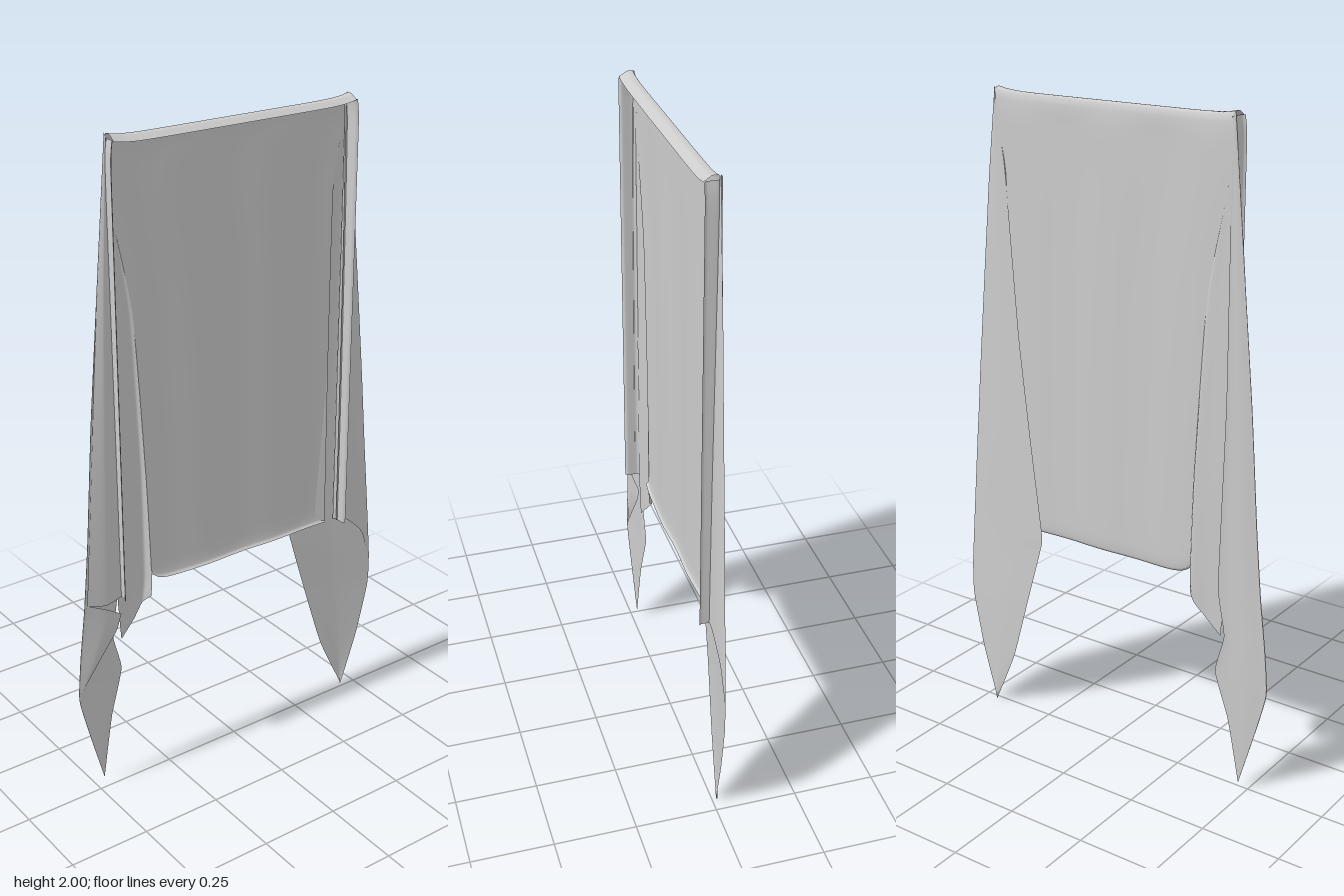
import * as THREE from 'three';
import { ParametricGeometry } from 'three/addons/geometries/ParametricGeometry.js';

const cloth = new THREE.MeshStandardMaterial({ color: 0xcccccc, side: THREE.DoubleSide });

const curve = (pts) =>
  new THREE.CatmullRomCurve3(pts.map((p) => new THREE.Vector3(...p)), false, 'catmullrom', 0.25);

function addSurface(group, name, fn, slices, stacks) {
  const geometry = new ParametricGeometry(fn, slices, stacks);
  geometry.computeVertexNormals();
  const mesh = new THREE.Mesh(geometry, cloth);
  mesh.name = name;
  group.add(mesh);
}

// Cloth stretched across a row of edge curves, each running top to bottom
function addSheet(group, name, edges, ripple = 0) {
  const curves = edges.map(curve);
  addSurface(group, name, (u, v, target) => {
    const points = curves.map((c) => c.getPoint(v));
    new THREE.CatmullRomCurve3(points, false, 'catmullrom', 0.3).getPoint(u, target);
    target.z += ripple * Math.sin(u * Math.PI * 3) * Math.sin(v * Math.PI);
  }, 16, 60);
}

export function createModel() {
  const group = new THREE.Group();
  group.name = 'drapedCloth';

  // Main panel: curled hem, flat back, top edge turned forward
  const profile = curve([
    [0, 0.648, -0.004], [0, 0.657, -0.011], [0, 0.7, -0.014], [0, 1.0, -0.014],
    [0, 1.3, -0.014], [0, 1.6, -0.014], [0, 1.92, -0.014], [0, 1.968, -0.012],
    [0, 1.988, -0.006], [0, 1.988, 0.012], [0, 1.974, 0.034],
  ]);
  const leftEdge = curve([[0.36, 0.64, 0], [0.362, 1.2, 0], [0.365, 1.75, 0], [0.4, 1.93, 0], [0.4, 2, 0]]);
  const rightEdge = curve([[-0.29, 0.64, 0], [-0.3, 1.0, 0], [-0.33, 1.5, 0], [-0.4, 1.85, 0], [-0.4, 2, 0]]);
  const edgeAt = (c, y) => {
    let lo = 0, hi = 1;
    for (let i = 0; i < 16; i++) {
      const mid = (lo + hi) / 2;
      if (c.getPoint(mid).y < y) lo = mid; else hi = mid;
    }
    return c.getPoint(lo).x;
  };
  addSurface(group, 'backPanel', (u, v, target) => {
    profile.getPoint(v, target);
    const x = THREE.MathUtils.lerp(edgeAt(rightEdge, target.y), edgeAt(leftEdge, target.y), u);
    const corner = Math.pow(Math.abs(x) / 0.4, 10);
    const top = THREE.MathUtils.smoothstep(target.y, 1.9, 1.98);
    const hem = 1 - THREE.MathUtils.smoothstep(target.y, 0.64, 0.8);
    target.x = x;
    target.y += 0.01 * corner * top + 0.03 * hem * Math.exp(-u * 25);
    target.z -= 0.002 * Math.sin(u * Math.PI * 5) * (1 - top);
  }, 40, 80);

  // Side walls wrapping forward, with a narrow lip
  for (const s of [-1, 1]) {
    const wallEdge = (x, z) => [[x * 0.985, 1.985, z], [x, 1.9, z], [x, 1.2, z], [x, 0.645, z]];
    addSheet(group, s > 0 ? 'leftWall' : 'rightWall', [
      wallEdge(s * 0.398, -0.012), wallEdge(s * 0.405, -0.004),
      wallEdge(s * 0.405, 0.025), wallEdge(s * 0.412, 0.033),
    ]);
  }

  // Left flap: wide rear layer ending in a point
  const leftInner = [
    [0.4, 1.985, -0.012], [0.365, 1.75, -0.017], [0.325, 1.3, -0.024], [0.28, 0.95, -0.03],
    [0.24, 0.65, -0.033], [0.25, 0.59, -0.032], [0.3, 0.42, -0.03], [0.37, 0.19, -0.023], [0.455, 0.002, -0.013],
  ];
  const leftOuter = [
    [0.403, 2, -0.01], [0.437, 1.7, -0.009], [0.478, 1.25, -0.007], [0.508, 0.95, -0.006],
    [0.535, 0.65, -0.004], [0.55, 0.47, -0.003], [0.549, 0.36, -0.004], [0.51, 0.18, -0.008], [0.455, 0.002, -0.013],
  ];
  const middle = leftInner.map((p, i) => p.map((a, k) => (a + leftOuter[i][k]) / 2 - (k === 2 ? 0.004 : 0)));
  addSheet(group, 'leftFlapRear', [leftInner, middle, leftOuter]);

  // Left flap: front layer from the wall to the outer fold
  addSheet(group, 'leftFlapFront', [
    [[0.398, 1.985, -0.008], [0.4, 1.6, -0.004], [0.4, 1.1, 0], [0.4, 0.645, 0.002]],
    [[0.4, 1.99, -0.008], [0.42, 1.6, -0.003], [0.43, 1.1, 0.002], [0.44, 0.638, 0.003]],
    [[0.401, 1.995, -0.009], [0.43, 1.6, -0.005], [0.465, 1.1, 0], [0.51, 0.57, 0.001]],
    [[0.403, 2, -0.01], [0.447, 1.6, -0.008], [0.495, 1.1, -0.006], [0.55, 0.45, -0.003]],
  ]);

  // Left hidden fold joining the panel to the rear layer
  addSheet(group, 'leftFold', [
    [[0.4, 1.93, -0.014], [0.365, 1.75, -0.014], [0.362, 1.2, -0.014], [0.36, 0.65, -0.008]],
    [[0.4, 1.95, -0.013], [0.365, 1.75, -0.017], [0.315, 1.2, -0.025], [0.24, 0.65, -0.033]],
  ]);

  // Right gather: bulge behind the panel with a short hanging corner
  addSheet(group, 'rightGather', [
    [[-0.4, 1.85, -0.014], [-0.33, 1.5, -0.014], [-0.3, 1.0, -0.014], [-0.29, 0.66, -0.012], [-0.292, 0.6, -0.014]],
    [[-0.4, 1.88, -0.014], [-0.34, 1.5, -0.018], [-0.31, 1.0, -0.026], [-0.305, 0.66, -0.031], [-0.315, 0.58, -0.029]],
    [[-0.4, 1.92, -0.014], [-0.37, 1.5, -0.015], [-0.35, 1.0, -0.02], [-0.35, 0.66, -0.022], [-0.35, 0.54, -0.021]],
    [[-0.4, 1.95, -0.014], [-0.405, 1.5, -0.013], [-0.41, 1.0, -0.013], [-0.41, 0.66, -0.013], [-0.4, 0.49, -0.015]],
  ]);

  // Right flap: narrow rear layer ending in a point
  const rightOuter = [
    [-0.402, 2, -0.01], [-0.44, 1.6, -0.01], [-0.478, 1.2, -0.009], [-0.505, 0.85, -0.008],
    [-0.525, 0.64, -0.008], [-0.545, 0.48, -0.008], [-0.555, 0.34, -0.008], [-0.52, 0.19, -0.012], [-0.476, 0.025, -0.017],
  ];
  const rightInner = [
    [-0.397, 1.985, -0.013], [-0.4, 1.6, -0.018], [-0.405, 1.2, -0.024], [-0.4, 0.85, -0.029],
    [-0.398, 0.64, -0.031], [-0.42, 0.5, -0.028], [-0.394, 0.38, -0.03], [-0.438, 0.23, -0.023], [-0.476, 0.025, -0.017],
  ];
  addSheet(group, 'rightFlapRear', [rightOuter, rightInner], 0.002);

  // Right flap: front layer with a rolled lower corner
  addSheet(group, 'rightFlapFront', [
    [[-0.402, 2, -0.01], [-0.44, 1.6, -0.008], [-0.482, 1.1, -0.005], [-0.518, 0.65, -0.002]],
    [[-0.4, 1.99, -0.008], [-0.425, 1.6, 0], [-0.445, 1.1, 0.004], [-0.46, 0.635, 0.005]],
    [[-0.398, 1.985, -0.008], [-0.403, 1.6, -0.003], [-0.403, 1.1, 0], [-0.405, 0.645, 0.002]],
  ]);
  addSheet(group, 'rightFlapRoll', [
    [[-0.518, 0.65, -0.004], [-0.53, 0.55, -0.006], [-0.548, 0.42, -0.007], [-0.553, 0.35, -0.008]],
    [[-0.45, 0.615, 0.001], [-0.47, 0.54, 0.002], [-0.51, 0.44, -0.001], [-0.55, 0.355, -0.007]],
    [[-0.4, 0.58, -0.01], [-0.42, 0.53, -0.008], [-0.48, 0.45, -0.008], [-0.547, 0.36, -0.008]],
  ]);

  return group;
}
